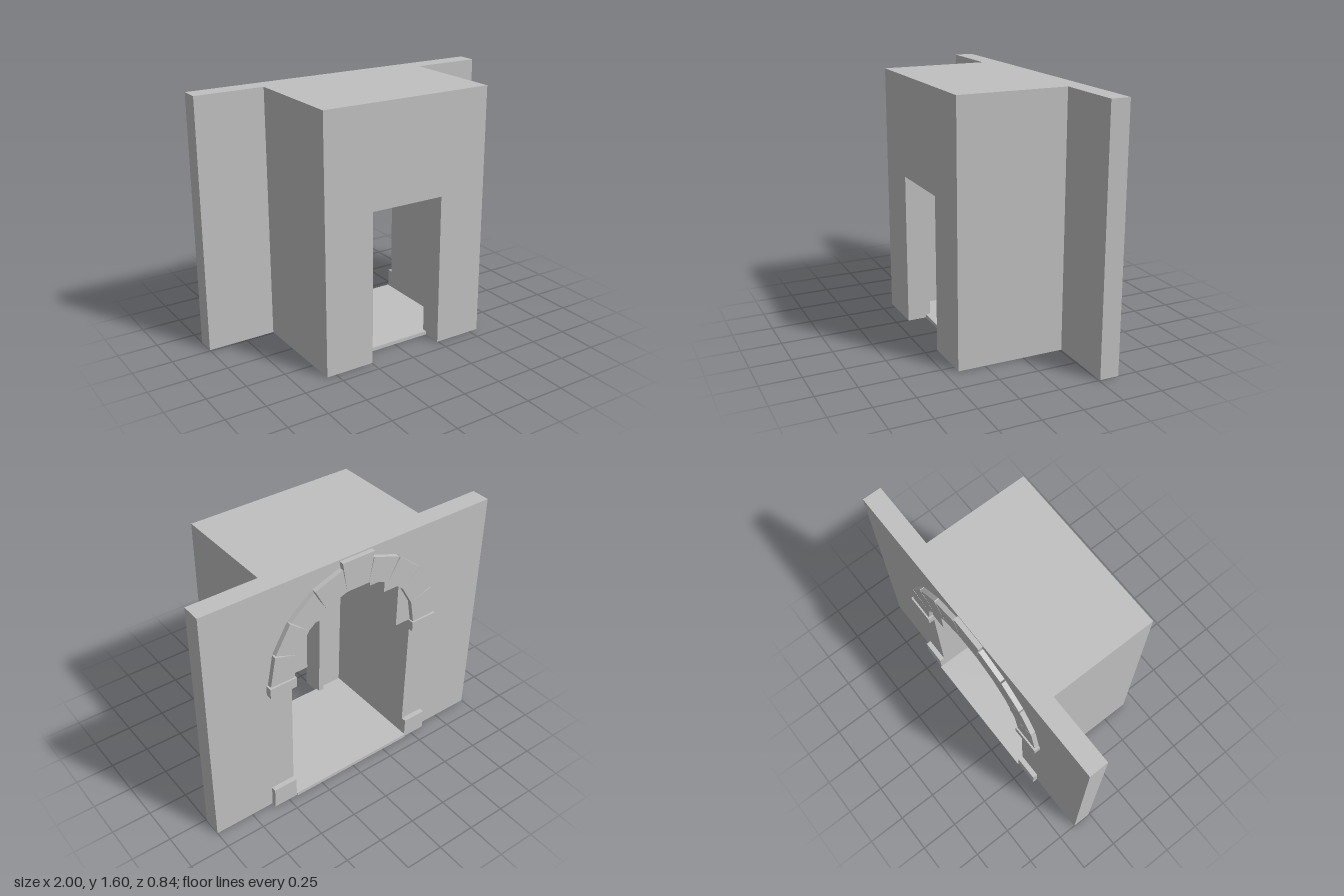
import * as THREE from 'three';

const SPRING = 0.96, HALF = 0.44;   // vault springing height and half width

export function createModel() {
  const group = new THREE.Group();
  const stone = new THREE.MeshStandardMaterial({ color: 0xc0c0c0 });
  stone.name = 'stone';

  const add = (name, geometry) => {
    const mesh = new THREE.Mesh(geometry, stone);
    mesh.name = name;
    group.add(mesh);
  };
  const box = (name, x0, x1, y0, y1, z0, z1) => {
    const g = new THREE.BoxGeometry(x1 - x0, y1 - y0, z1 - z0);
    g.translate((x0 + x1) / 2, (y0 + y1) / 2, (z0 + z1) / 2);
    add(name, g);
  };
  const slab = (name, points, z0, z1) => {
    const shape = new THREE.Shape(points.map(([x, y]) => new THREE.Vector2(x, y)));
    const g = new THREE.ExtrudeGeometry(shape, { depth: z1 - z0, bevelEnabled: false });
    g.translate(0, 0, z0);
    add(name, g);
  };
  // wall outline with an opening that reaches the ground; half = right half of the opening, bottom to top
  const wall = (w, half) => [
    [-w, 0], ...half.map(([x, y]) => [-x, y]), ...[...half].reverse(), [w, 0], [w, 1.6], [-w, 1.6],
  ];

  // stepped vault profile following a semicircle
  const steps = 4;
  const vault = [[HALF, 0]];
  for (let i = steps; i > 0; i--) {
    const x = HALF * i / steps;
    const y = SPRING + Math.sqrt(HALF * HALF - x * x);
    vault.push([x, y]);
    if (i > 1) vault.push([HALF * (i - 1) / steps, y]);
  }

  // wide rear wall, vaulted passage and front wall with doorway
  slab('rearWall', wall(1, vault), -0.38, -0.26);
  slab('vaultedPassage', wall(0.56, vault), -0.26, 0.30);
  slab('frontWall', wall(0.56, [[0.243, 0], [0.243, 0.967]]), 0.30, 0.42);
  box('floor', -HALF, HALF, 0, 0.023, -0.42, 0.30);

  // frame on the inner side of the doorway
  box('doorLintel', -0.283, 0.283, 0.967, 1.01, 0.27, 0.30);

  for (const s of [-1, 1]) {
    const pair = (name, a, b, ...rest) =>
      box(name, Math.min(s * a, s * b), Math.max(s * a, s * b), ...rest);
    pair('doorPost', 0.243, 0.283, 0.023, 0.967, 0.27, 0.30);
    pair('archBase', HALF, 0.6, 0, 0.14, -0.413, -0.38);
    pair('impost', 0.43, 0.61, 0.895, SPRING, -0.42, -0.38);
  }

  // nine arch stones with narrow joints, the middle one taller
  for (let i = 0; i < 9; i++) {
    const mid = 10 + 20 * i, key = i === 4;
    const at = (r, deg) => {
      const a = THREE.MathUtils.degToRad(deg);
      return [r * Math.cos(a), SPRING + r * Math.sin(a)];
    };
    const outer = key ? 0.64 : 0.6;
    const spread = key ? 10 : 9.5;
    slab(key ? 'keystone' : 'archStone', [
      at(HALF, mid - 10), at(outer, mid - spread), at(outer, mid + spread), at(HALF, mid + 10),
    ], -0.41, -0.38);
  }
  return group;
}
